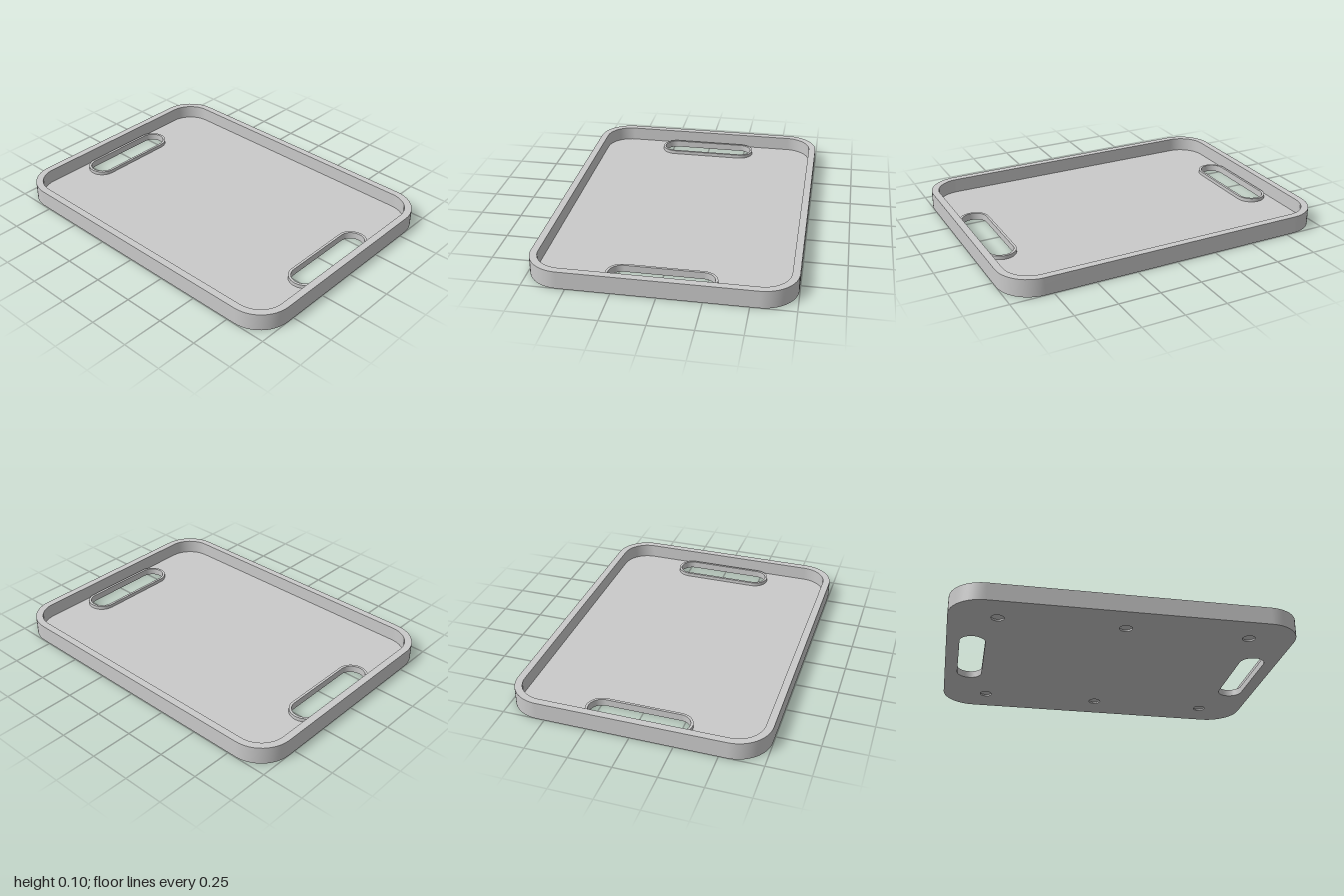
import * as THREE from 'three';

const HEIGHT = 0.105, FLOOR = 0.02, RIM = 0.042, RECESS = 0.01;

// Counter-clockwise outline of a rounded rectangle (slot or circle when r fills it)
function outline(hx, hz, r, cx = 0, cz = 0, steps = 12) {
  const pts = [];
  [[1, 1], [-1, 1], [-1, -1], [1, -1]].forEach(([sx, sz], q) => {
    for (let i = 0; i <= steps; i++) {
      const a = (q + i / steps) * Math.PI / 2;
      const p = new THREE.Vector2(cx + sx * (hx - r) + r * Math.cos(a), cz + sz * (hz - r) + r * Math.sin(a));
      if (!pts.length || pts[pts.length - 1].distanceTo(p) > 1e-5) pts.push(p);
    }
  });
  if (pts[0].distanceTo(pts[pts.length - 1]) < 1e-5) pts.pop();
  return pts;
}

// Horizontal face at height y, with holes, facing up or down
function face(points, holes, y, up = true) {
  const shape = new THREE.Shape(points);
  shape.holes = holes.map((h) => new THREE.Path(h));
  const g = new THREE.ShapeGeometry(shape);
  g.rotateX(-Math.PI / 2).translate(0, y, 0);
  if (!up) {
    g.index.array.reverse();
    g.computeVertexNormals();
  }
  return g;
}

// Smooth vertical wall along an outline, facing outward or inward
function band(points, y0, y1, outward = true) {
  const pos = [], idx = [], n = points.length;
  points.forEach((p) => pos.push(p.x, y0, -p.y, p.x, y1, -p.y));
  for (let i = 0; i < n; i++) {
    const a = 2 * i, b = a + 1, c = 2 * ((i + 1) % n), d = c + 1;
    if (outward) idx.push(a, c, d, a, d, b);
    else idx.push(a, d, c, a, b, d);
  }
  const g = new THREE.BufferGeometry();
  g.setAttribute('position', new THREE.Float32BufferAttribute(pos, 3));
  g.setIndex(idx);
  g.computeVertexNormals();
  return g;
}

export function createModel() {
  const grey = new THREE.MeshStandardMaterial({ color: 0xcacaca });
  grey.name = 'grey';
  const tray = new THREE.Group();
  tray.name = 'tray';
  const add = (parent, name, geometry) => {
    const mesh = new THREE.Mesh(geometry, grey);
    mesh.name = name;
    parent.add(mesh);
  };
  const group = (name) => {
    const g = new THREE.Group();
    g.name = name;
    tray.add(g);
    return g;
  };

  const outer = outline(1, 0.747, 0.2);
  const inner = outline(0.957, 0.704, 0.157);
  const sides = [-1, 1];
  const slots = sides.map((s) => outline(0.075, 0.297, 0.075, s * 0.848));
  const collars = sides.map((s) => outline(0.09, 0.312, 0.09, s * 0.848));
  const recesses = [];
  for (const x of [-0.725, 0, 0.725]) {
    for (const z of [-0.547, 0.547]) recesses.push(outline(0.037, 0.037, 0.037, x, z, 8));
  }

  // Raised border wall
  const wall = group('borderWall');
  add(wall, 'outerSide', band(outer, 0, HEIGHT));
  add(wall, 'innerSide', band(inner, FLOOR, HEIGHT, false));
  add(wall, 'topEdge', face(outer, [inner], HEIGHT));

  // Floor and underside
  add(tray, 'floor', face(inner, collars, FLOOR));
  add(tray, 'underside', face(outer, [...slots, ...recesses], 0, false));

  // Handle slots with raised collars
  slots.forEach((slot, i) => {
    const handle = group(i ? 'leftHandle' : 'rightHandle');
    add(handle, 'slotWall', band(slot, 0, RIM, false));
    add(handle, 'collarSide', band(collars[i], FLOOR, RIM));
    add(handle, 'collarTop', face(collars[i], [slot], RIM));
  });

  // Shallow round recesses for feet
  recesses.forEach((circle) => {
    const recess = group('footRecess');
    add(recess, 'recessWall', band(circle, 0, RECESS, false));
    add(recess, 'recessBottom', face(circle, [], RECESS, false));
  });

  return tray;
}
